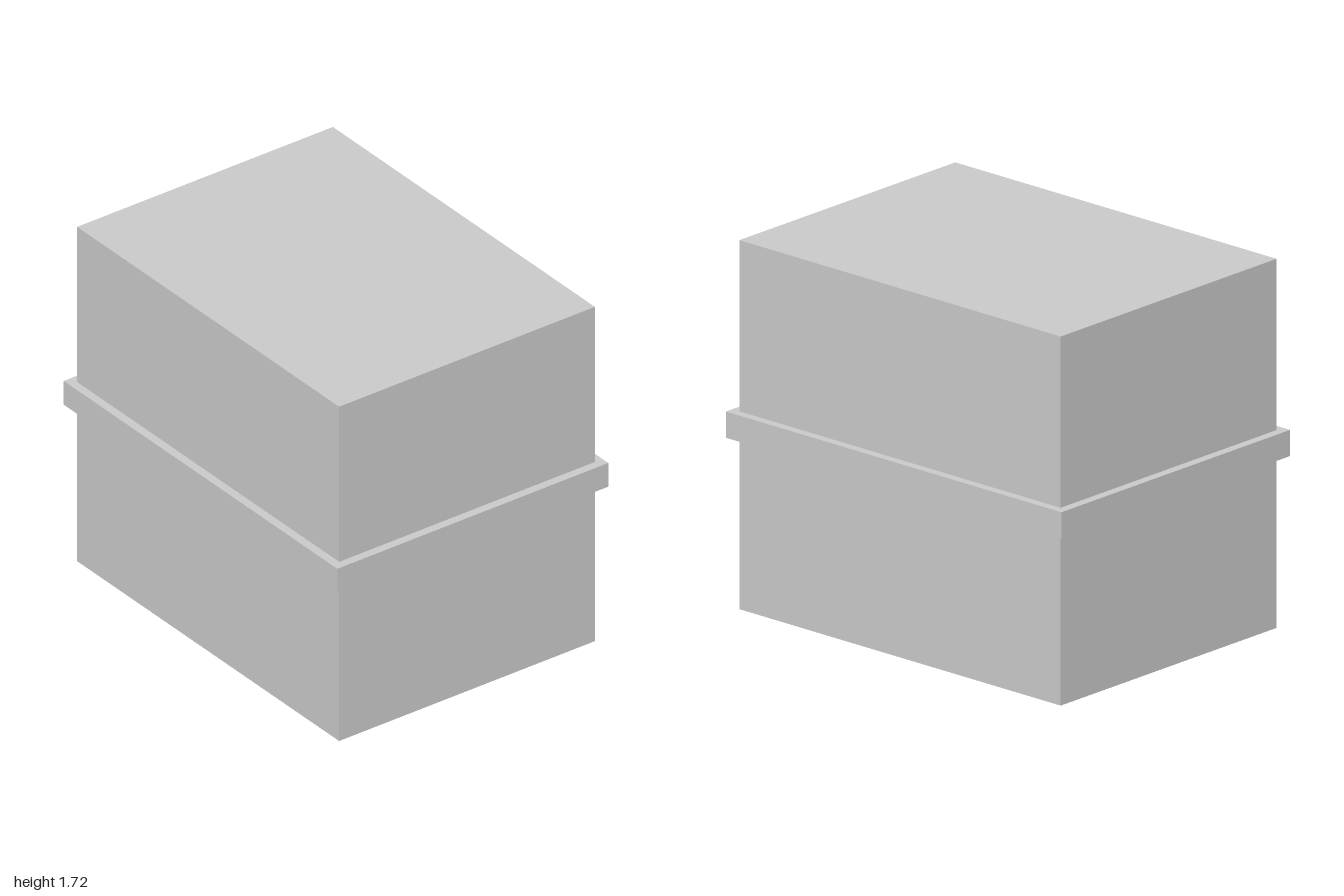
import * as THREE from 'three';

const material = new THREE.MeshStandardMaterial({ color: 0xcccccc });

// Box centred on x and z, spanning y0 to y1
function addBlock(group, name, width, depth, y0, y1) {
  const mesh = new THREE.Mesh(new THREE.BoxGeometry(width, y1 - y0, depth), material);
  mesh.name = name;
  mesh.position.y = (y0 + y1) / 2;
  group.add(mesh);
}

export function createModel() {
  const model = new THREE.Group();
  model.name = 'bandedBox';

  // Main body
  addBlock(model, 'body', 1.915, 1.41, 0, 1.72);

  // Raised band around the middle
  addBlock(model, 'band', 2, 1.494, 0.8, 0.922);

  return model;
}
